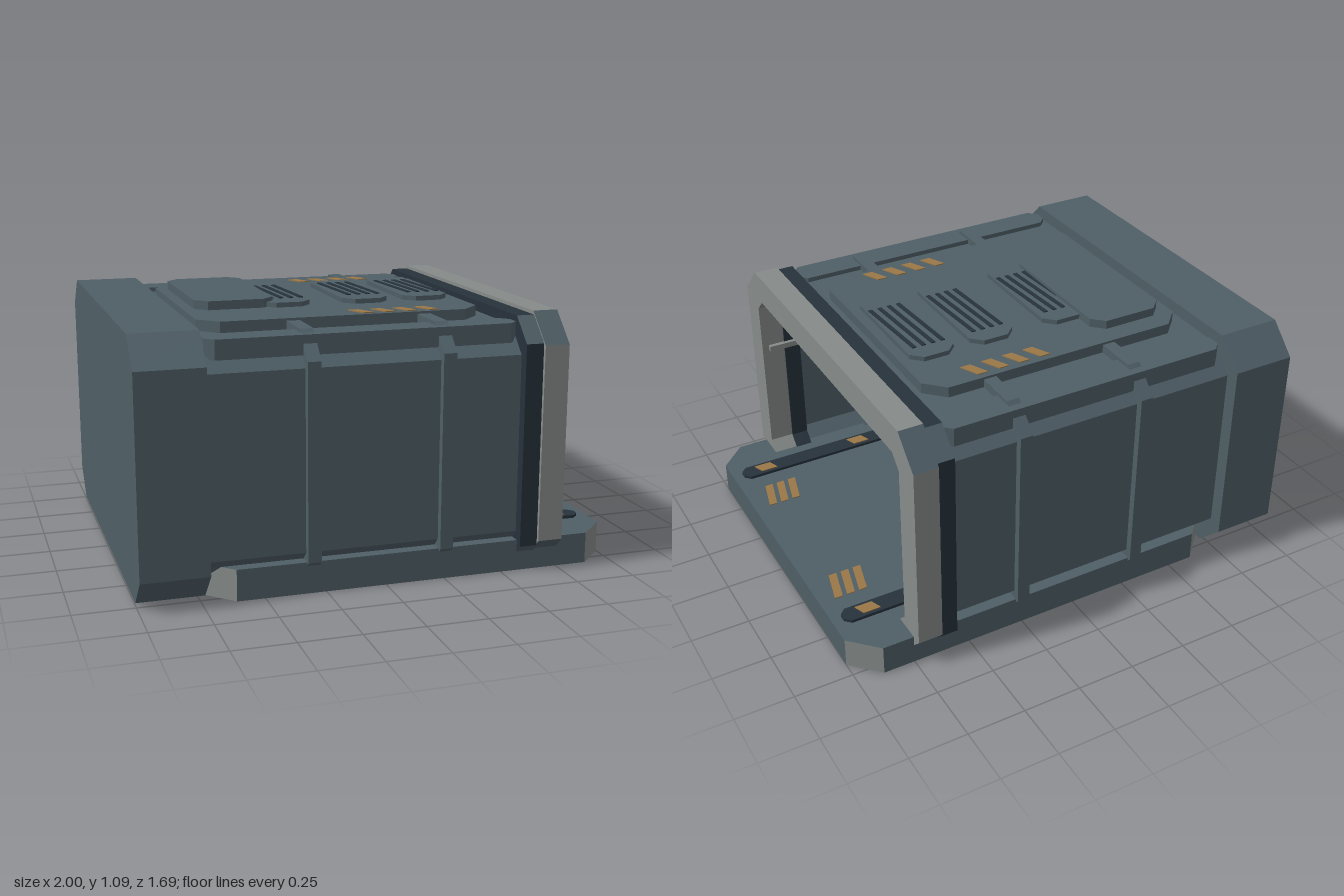
import * as THREE from 'three';

const mat = (name, color) => {
  const m = new THREE.MeshStandardMaterial({ color });
  m.name = name;
  return m;
};

export function createModel() {
  const steel = mat('steel blue', 0x4f5f67);
  const grey = mat('light grey', 0x868b89);
  const navy = mat('dark navy', 0x27323b);
  const black = mat('black', 0x0d0d0d);
  const amber = mat('amber', 0x9a7847);

  const model = new THREE.Group();
  const add = (name, geo, material) => {
    const mesh = new THREE.Mesh(geo, material);
    mesh.name = name;
    model.add(mesh);
    return mesh;
  };

  // Rectangle with cut corners
  const octagon = (a0, a1, b0, b1, c) => [
    [a0 + c, b0], [a1 - c, b0], [a1, b0 + c], [a1, b1 - c],
    [a1 - c, b1], [a0 + c, b1], [a0, b1 - c], [a0, b0 + c],
  ].map(([a, b]) => new THREE.Vector2(a, b));

  const extrude = (shape, depth) =>
    new THREE.ExtrudeGeometry(shape, { depth, bevelEnabled: false });

  // Eight-sided section running along x, optionally hollow: o = [halfZ, y0, y1, cut]
  const section = (x0, x1, o, hole) => {
    const shape = new THREE.Shape(octagon(-o[0], o[0], o[1], o[2], o[3]));
    if (hole) shape.holes.push(new THREE.Path(octagon(-hole[0], hole[0], hole[1], hole[2], hole[3])));
    return extrude(shape, x1 - x0).rotateY(Math.PI / 2).translate(x0, 0, 0);
  };

  // Flat plate with cut corners, seen from above
  const plate = (x0, x1, z0, z1, y0, y1, c) =>
    extrude(new THREE.Shape(octagon(x0, x1, -z1, -z0, c)), y1 - y0)
      .rotateX(-Math.PI / 2).translate(0, y0, 0);

  // Thin slanted mark: x at the z0 edge, x + slant at the z1 edge
  const mark = (name, x, w, z0, z1, slant, y, material) => {
    const pts = [[x, -z0], [x + slant, -z1], [x + slant + w, -z1], [x + w, -z0]];
    const shape = new THREE.Shape(pts.map(([a, b]) => new THREE.Vector2(a, b)));
    add(name, extrude(shape, 0.004).rotateX(-Math.PI / 2).translate(0, y, 0), material);
  };

  // Gives diagonal outer faces the second material of the mesh
  const splitDiagonals = (geo, isOuter) => {
    geo.clearGroups();
    const p = geo.attributes.position, n = geo.attributes.normal;
    for (let i = 0; i < p.count; i += 3) {
      const sides = [n.getX(i), n.getY(i), n.getZ(i)].filter((v) => Math.abs(v) > 0.3);
      geo.addGroup(i, 3, sides.length > 1 && isOuter(p, n, i) ? 1 : 0);
    }
    return geo;
  };
  const awayFromAxis = (p, n, i) =>
    n.getZ(i) * p.getZ(i) + n.getY(i) * (p.getY(i) - 0.54) > 0;

  // Floor deck with grey cut corners
  add('floorDeck', splitDiagonals(plate(-0.73, 1, -0.8, 0.8, 0, 0.13, 0.115), () => true), [steel, grey]);

  // Rear block and its dark inner wall
  add('rearBlock', section(-1, -0.725, [0.845, 0.01, 1.065, 0.12]), steel);
  add('innerWallPanel', section(-0.725, -0.717, [0.58, 0.205, 0.875, 0.065]), black);

  // Hollow body and the ribs around it
  add('bodyShell', section(-0.725, 0.575, [0.785, 0.06, 1.01, 0.105], [0.755, 0.1, 0.985, 0.08]), steel);
  for (const x of [-0.33, 0.225])
    add('bodyRib', section(x, x + 0.055, [0.815, 0.02, 1.045, 0.11], [0.725, 0.115, 0.948, 0.06]), steel);

  // Entrance arch: dark inner rib and grey outer frame with steel corners
  add('archRib', splitDiagonals(
    section(0.57, 0.645, [0.83, 0.01, 1.055, 0.1], [0.715, 0.12, 0.942, 0.055]), awayFromAxis), [navy, steel]);
  add('archFrame', splitDiagonals(
    section(0.645, 0.75, [0.845, 0.01, 1.07, 0.122], [0.72, 0.12, 0.945, 0.055]), awayFromAxis), [grey, steel]);

  for (const s of [-1, 1]) {
    // Long roof rail at each shoulder
    add('roofRail', plate(-0.71, 0.57, s * 0.6925 - 0.0625, s * 0.6925 + 0.0625, 0.95, 1.03, 0.035), steel);

    // Ceiling beam
    add('ceilingBeam', new THREE.BoxGeometry(1.29, 0.035, 0.05).translate(-0.075, 0.967, s * 0.3), steel);

    // Grab bar inside the entrance
    add('grabBar', new THREE.BoxGeometry(0.16, 0.025, 0.02).translate(0.64, 0.68, s * 0.707), grey);

    // Floor light strip
    add('lightStrip', plate(-0.7, 0.955, s * 0.565 - 0.04, s * 0.565 + 0.04, 0.13, 0.143, 0.025), navy);
    for (let i = 0; i < 4; i++)
      mark('floorLight', 0.795 - i * 0.47, 0.075, s * 0.565 - 0.025, s * 0.565 + 0.025, 0.02, 0.143, amber);

    // Threshold stripes on the deck
    for (let i = 0; i < 3; i++)
      mark('deckStripe', 0.787 + i * 0.055, 0.035, s * 0.364 - 0.073, s * 0.364 + 0.073, -0.035, 0.13, amber);

    // Warning stripes on the roof
    for (let i = 0; i < 4; i++)
      mark('roofStripe', -0.04 + i * 0.095, 0.045, s * 0.458 - 0.04, s * 0.458 + 0.04, 0.038, 1.055, amber);
  }

  // Roof panel, hatch and slotted vents
  add('roofPanel', plate(-0.68, 0.515, -0.525, 0.52, 1.0, 1.055, 0.08), steel);
  add('roofHatch', plate(-0.635, -0.3, -0.435, 0.24, 1.05, 1.092, 0.05), steel);
  for (const x of [-0.345, 0, 0.272]) {
    add('roofVent', plate(x, x + 0.2, -0.305, 0.257, 1.05, 1.075, 0.045), steel);
    for (let i = 0; i < 4; i++)
      mark('ventSlot', x + 0.02 + i * 0.043, 0.018, -0.222, 0.145, 0.025, 1.075, navy);
  }

  return model;
}
